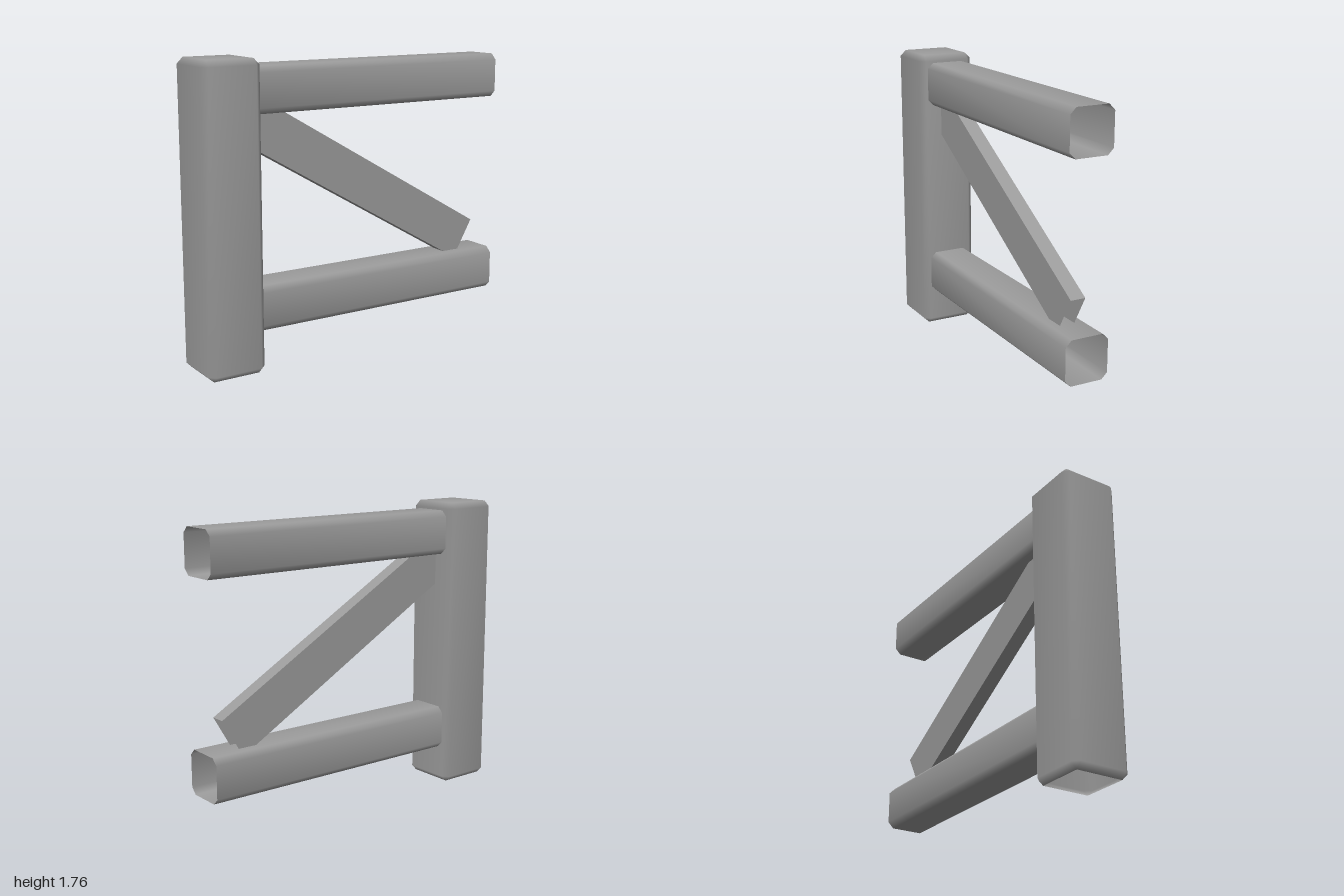
import * as THREE from 'three';
import { mergeVertices } from 'three/addons/utils/BufferGeometryUtils.js';

const BEVEL = 0.035;
const material = new THREE.MeshStandardMaterial({ color: 0x9c9c9c, side: THREE.DoubleSide });

// Lofts square rings with cut corners along y, smooth shaded. Ring: [y, half width, corner cut].
function loft(rings) {
  const pos = [], index = [];
  for (const [y, h, cut] of rings) {
    [[1, 1], [-1, 1], [-1, -1], [1, -1]].forEach(([sx, sz], k) => {
      const onX = [h * sx, y, (h - cut) * sz];
      const onZ = [(h - cut) * sx, y, h * sz];
      pos.push(...(k % 2 ? [...onZ, ...onX] : [...onX, ...onZ]));
    });
  }
  for (let j = 0; j < rings.length - 1; j++) {
    for (let i = 0; i < 8; i++) {
      const a = j * 8 + i, b = j * 8 + (i + 1) % 8;
      index.push(a, a + 8, b, b, a + 8, b + 8);
    }
  }
  const geometry = new THREE.BufferGeometry();
  geometry.setAttribute('position', new THREE.Float32BufferAttribute(pos, 3));
  geometry.setIndex(index);
  const welded = mergeVertices(geometry);
  welded.computeVertexNormals();
  return welded;
}

export function createModel() {
  const group = new THREE.Group();
  const add = (name, geometry, x, y) => {
    const mesh = new THREE.Mesh(geometry, material);
    mesh.name = name;
    mesh.position.set(x, y, 0);
    group.add(mesh);
    return mesh;
  };

  // Upright post: bevelled, closed on top, open underneath
  const H = 1.757, half = 0.175;
  add('post', loft([
    [0, half - BEVEL, 0],
    [BEVEL, half, BEVEL],
    [H - BEVEL, half, BEVEL],
    [H, half - BEVEL, 0],
    [H, 0, 0],
  ]), -0.825, 0);

  // Two hollow horizontal beams with open ends
  const beam = loft([[0, 0.131, BEVEL], [1.65, 0.131, BEVEL]]).rotateZ(-Math.PI / 2);
  add('lowerBeam', beam, -0.65, 0.356);
  add('upperBeam', beam, -0.65, 1.58);

  // Flat hollow diagonal brace: a box without its two end faces
  const sleeve = new THREE.BoxGeometry(1.76, 0.262, 0.09);
  sleeve.setIndex([...sleeve.index.array].slice(12));
  const brace = add('diagonalBrace', sleeve, 0.076, 0.991);
  brace.rotation.z = -Math.PI / 6;

  return group;
}
